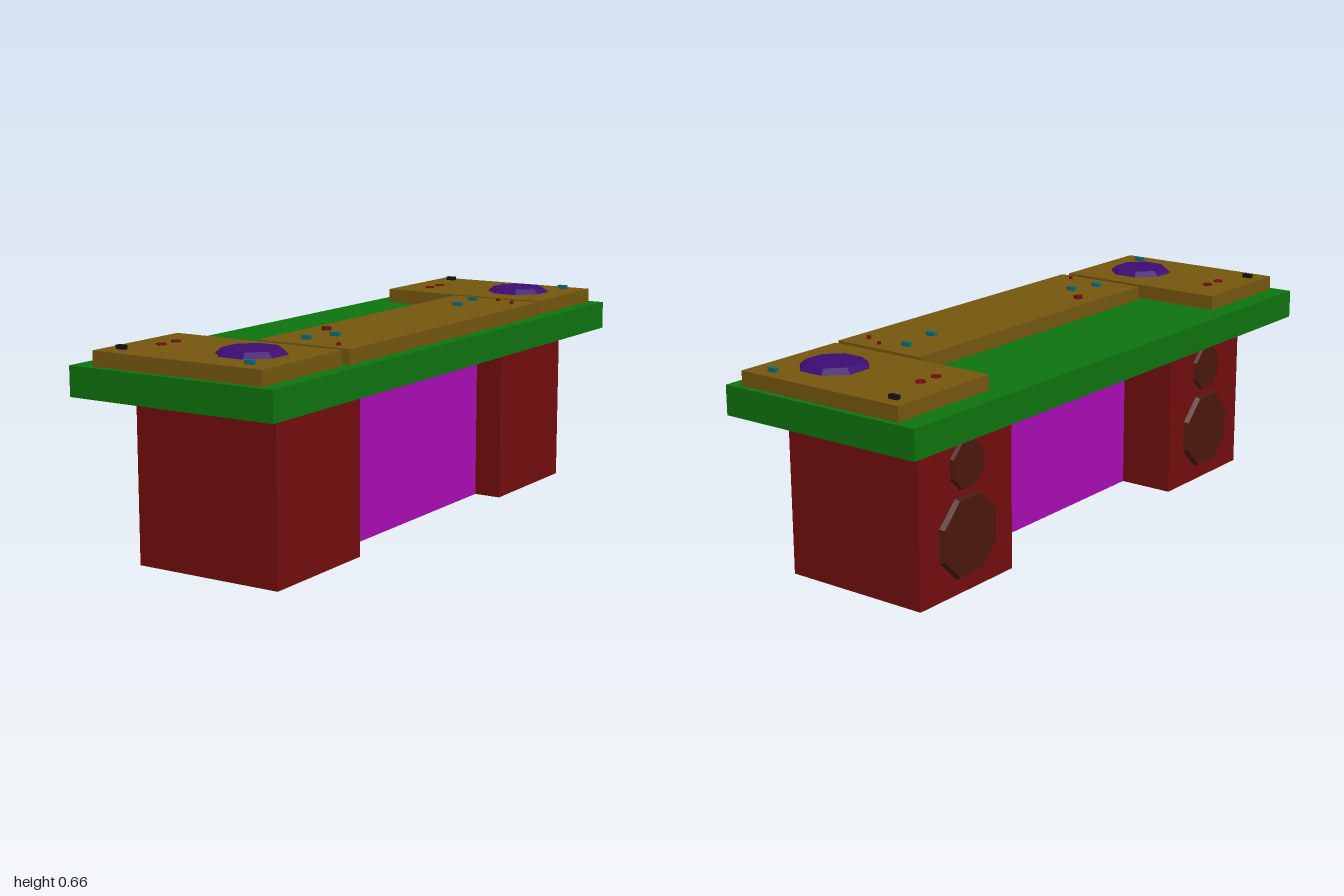
import * as THREE from 'three';

const mat = (color) => new THREE.MeshStandardMaterial({ color, flatShading: true, side: THREE.DoubleSide });

export function createModel() {
  const model = new THREE.Group();
  const green = mat(0x0e720e), brown = mat(0x73560e), red = mat(0x720d0d), magenta = mat(0xa80cb2);
  const purple = mat(0x3c0c72), teal = mat(0x0f6a72), black = mat(0x111111), rust = mat(0x4a180c);

  function add(parent, name, geometry, material, x = 0, y = 0, z = 0) {
    const mesh = new THREE.Mesh(geometry, material);
    mesh.name = name;
    mesh.position.set(x, y, z);
    parent.add(mesh);
    return mesh;
  }
  // Box given by its limits
  function box(parent, name, material, [x0, x1], [y0, y1], [z0, z1]) {
    const g = new THREE.BoxGeometry(x1 - x0, y1 - y0, z1 - z0);
    return add(parent, name, g, material, (x0 + x1) / 2, (y0 + y1) / 2, (z0 + z1) / 2);
  }
  // Upright sheet across z, facing +x or -x
  function wallX(parent, name, material, x, [y0, y1], [z0, z1], facing) {
    const g = new THREE.PlaneGeometry(Math.abs(z1 - z0), y1 - y0).rotateY(facing * Math.PI / 2);
    add(parent, name, g, material, x, (y0 + y1) / 2, (z0 + z1) / 2);
  }
  // Upright sheet across x, facing +z or -z
  function wallZ(parent, name, material, z, [y0, y1], [x0, x1], facing) {
    const g = new THREE.PlaneGeometry(x1 - x0, y1 - y0).rotateY(facing > 0 ? 0 : Math.PI);
    add(parent, name, g, material, (x0 + x1) / 2, (y0 + y1) / 2, z);
  }
  // Octagonal frustum with flats along the axes; half = half width across flats
  function octagon(halfTop, halfBase, height, open = false) {
    const k = Math.cos(Math.PI / 8);
    return new THREE.CylinderGeometry(halfTop / k, halfBase / k, height, 8, 1, open).rotateY(Math.PI / 8);
  }

  // Counter top: a shallow shell, open underneath
  const top = new THREE.Group();
  top.name = 'counterTop';
  model.add(top);
  const H = [0.511, 0.602];
  add(top, 'topSurface', new THREE.PlaneGeometry(0.704, 2).rotateX(-Math.PI / 2), green, 0, 0.602, 0);
  for (const s of [1, -1]) {
    wallX(top, 'sideRim', green, s * 0.352, H, [-1, 1], s);
    wallZ(top, 'endRim', green, s, H, [-0.352, 0.352], s);
  }

  // Hollow pedestals, open underneath and towards the middle panels
  const X0 = -0.234, X1 = 0.256, P0 = -0.05, P1 = 0.165, LEG = [0, 0.511];
  const speakers = [
    { y: 0.172, half: 0.124, depth: 0.015 },
    { y: 0.388, half: 0.073, depth: 0.011 },
  ];
  for (const s of [1, -1]) {
    const leg = new THREE.Group();
    leg.name = s > 0 ? 'frontPedestal' : 'rearPedestal';
    model.add(leg);
    wallZ(leg, 'outerEnd', red, s * 0.852, LEG, [X0, X1], s);
    wallX(leg, 'plainSide', red, X1, LEG, [s * 0.43, s * 0.852], 1);
    wallZ(leg, 'innerStrip', red, s * 0.43, LEG, [P1, X1], -s);
    wallZ(leg, 'innerStrip', red, s * 0.43, LEG, [X0, P0], -s);

    // Side with octagonal openings, each covered by a shallow dish
    const shape = new THREE.Shape([[-0.211, 0], [0.211, 0], [0.211, 0.511], [-0.211, 0.511]]
      .map(([a, b]) => new THREE.Vector2(a, b)));
    for (const { y, half, depth } of speakers) {
      const r = half / Math.cos(Math.PI / 8);
      const ring = [];
      for (let i = 0; i < 8; i++) {
        const a = -(i + 0.5) * Math.PI / 4;
        ring.push(new THREE.Vector2(r * Math.cos(a), y + r * Math.sin(a)));
      }
      shape.holes.push(new THREE.Path(ring));
      const cone = add(leg, 'speakerRim', octagon(half * 0.94, half, depth, true), rust, X0 - depth / 2, y, s * 0.641);
      cone.rotation.z = Math.PI / 2;
      const face = new THREE.CircleGeometry(half * 0.94 / Math.cos(Math.PI / 8), 8, Math.PI / 8).rotateY(-Math.PI / 2);
      add(leg, 'speakerFace', face, rust, X0 - depth, y, s * 0.641);
    }
    add(leg, 'speakerSide', new THREE.ShapeGeometry(shape).rotateY(-Math.PI / 2), red, X0, 0, s * 0.641);
  }

  // Two sheets joining the pedestals
  wallX(model, 'frontPanel', magenta, P1, LEG, [-0.43, 0.43], 1);
  wallX(model, 'backPanel', magenta, P0, LEG, [-0.43, 0.43], -1);

  // Equipment slabs on the counter
  const Y = 0.648, SLAB = [0.602, Y];
  box(model, 'mixerSlab', brown, [-0.005, 0.314], SLAB, [-0.57, 0.573]);
  box(model, 'frontDeck', brown, [-0.282, 0.304], SLAB, [0.598, 0.98]);
  box(model, 'rearDeck', brown, [-0.282, 0.304], SLAB, [-0.982, -0.594]);

  // Turning plates
  for (const z of [0.78, -0.79]) {
    add(model, 'platter', octagon(0.079, 0.098, 0.016), purple, 0.125, Y + 0.008, z);
  }

  // Small switches
  const button = (material, x, z, h = 0.012) => box(model, 'switch', material,
    [x - 0.015, x + 0.015], [Y, Y + h], [z - 0.008, z + 0.008]);
  for (const [x, z] of [[0.225, 0.925], [0.225, -0.935], [0.11, -0.493], [0.13, -0.355], [0.145, 0.393], [0.11, 0.49]]) {
    button(teal, x, z);
  }
  button(black, -0.228, 0.917);
  button(black, -0.228, -0.935);

  // Round knobs: x, z, half width, height
  for (const [x, z, r, h] of [
    [-0.18, 0.733, 0.014, 0.005], [-0.18, 0.8, 0.014, 0.005],
    [-0.18, -0.77, 0.014, 0.005], [-0.18, -0.703, 0.014, 0.005],
    [0.058, 0.31, 0.014, 0.01], [0.187, -0.53, 0.006, 0.008],
    [0.256, -0.498, 0.006, 0.01], [0.25, 0.533, 0.006, 0.008],
  ]) {
    add(model, 'knob', octagon(r, r, h), red, x, Y + h / 2, z);
  }

  return model;
}
